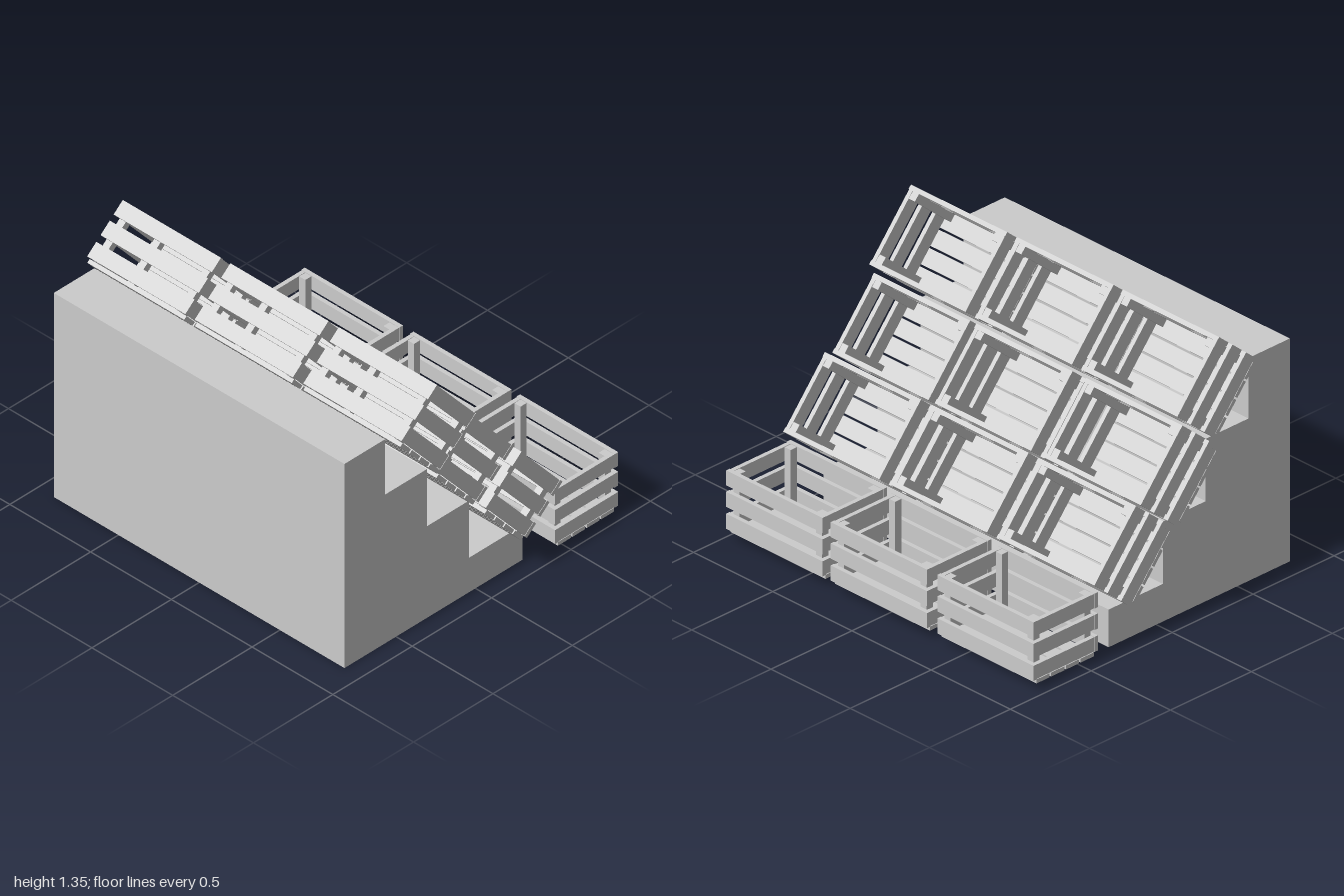
import * as THREE from 'three';

const material = new THREE.MeshStandardMaterial({ color: 0xcccccc, flatShading: true });

function addBox(parent, name, size, position) {
  const mesh = new THREE.Mesh(new THREE.BoxGeometry(...size), material);
  mesh.name = name;
  mesh.position.set(...position);
  parent.add(mesh);
}

// Open slatted crate, centred on its own middle, opening upwards
function createCrate() {
  const crate = new THREE.Group();
  crate.name = 'crate';
  const width = 0.398, length = 0.608, height = 0.316, board = 0.022, post = 0.038;

  // Four floor boards with narrow gaps
  for (let i = 0; i < 4; i++) {
    addBox(crate, 'floorBoard', [0.081, 0.02, length - 0.008], [(i - 1.5) * 0.091, -height / 2 + 0.01, 0]);
  }
  // Three rows of boards around the walls
  for (const y of [-0.097, 0.014, 0.122]) {
    for (const s of [-1, 1]) {
      addBox(crate, 'sideBoard', [board, 0.076, length], [s * (width - board) / 2, y, 0]);
      addBox(crate, 'endBoard', [width - 2 * board, 0.072, board], [0, y, s * (length - board - 0.004) / 2]);
    }
  }
  // Corner posts inside the walls
  for (const sx of [-1, 1]) {
    for (const sz of [-1, 1]) {
      addBox(crate, 'cornerPost', [post, 0.292, post],
        [sx * (width / 2 - board - post / 2), 0.01, sz * (length / 2 - board - 0.002 - post / 2)]);
    }
  }
  return crate;
}

// Solid staircase, extruded along z
function createStairs() {
  const shape = new THREE.Shape();
  const back = -0.825;
  shape.moveTo(back, 0);
  let x = 0.295;
  shape.lineTo(x, 0);
  for (const [y, nextX] of [[0.19, -0.04], [0.505, -0.305], [0.82, -0.57], [1.125, back]]) {
    shape.lineTo(x, y);
    shape.lineTo(nextX, y);
    x = nextX;
  }
  const geometry = new THREE.ExtrudeGeometry(shape, { depth: 1.8, bevelEnabled: false });
  geometry.translate(0, 0, -0.9);
  const stairs = new THREE.Mesh(geometry, material);
  stairs.name = 'stairs';
  return stairs;
}

export function createModel() {
  const model = new THREE.Group();
  model.name = 'crateDisplay';
  model.add(createStairs());

  // Rows of three crates: tilted on the steps, upright on the ground
  const tilt = -0.865;
  const rows = [
    { name: 'topRow', x: -0.325, y: 1.09, tilt, z: [0.685, 0.013, -0.653] },
    { name: 'middleRow', x: -0.062, y: 0.76, tilt, z: [0.65, 0.003, -0.69] },
    { name: 'lowerRow', x: 0.2, y: 0.446, tilt, z: [0.692, 0.013, -0.665] },
    { name: 'groundRow', x: 0.622, y: 0.194, tilt: 0, z: [0.673, 0.013, -0.66] },
  ];
  for (const row of rows) {
    const group = new THREE.Group();
    group.name = row.name;
    for (const z of row.z) {
      const crate = createCrate();
      crate.position.set(row.x, row.y, z);
      crate.rotation.z = row.tilt;
      group.add(crate);
    }
    model.add(group);
  }
  return model;
}
